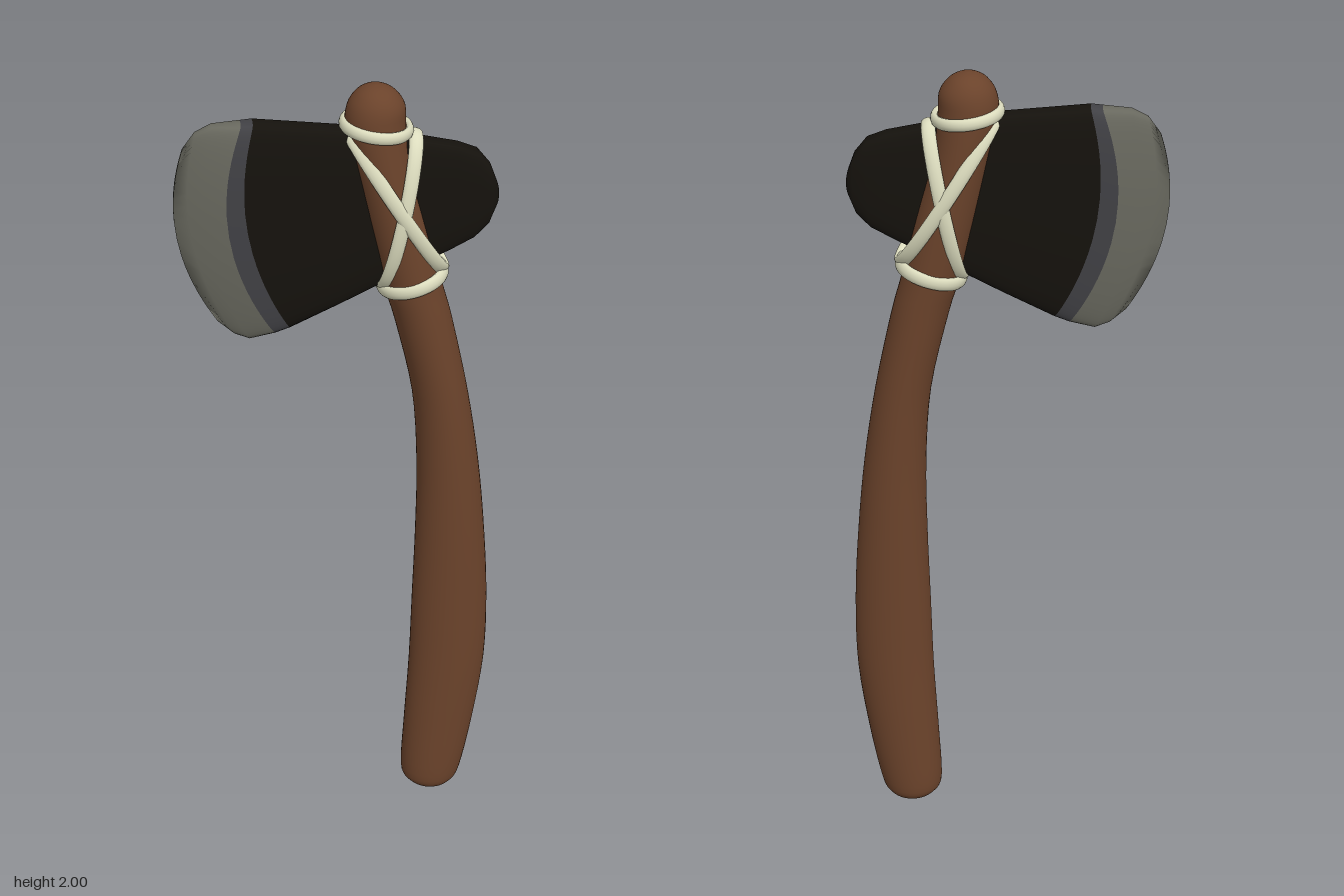
import * as THREE from 'three';
import { mergeVertices } from 'three/addons/utils/BufferGeometryUtils.js';

const V = (x, y, z = 0) => new THREE.Vector3(x, y, z);
const mat = (color) => new THREE.MeshStandardMaterial({ color });

// Skin a list of closed cross-sections; capped ends collapse to their centre.
function loft(rings, capStart = false, capEnd = false) {
  const n = rings[0].length;
  const middle = (ring) => {
    const c = V(0, 0);
    ring.forEach((p) => c.addScaledVector(p, 1 / n));
    return ring.map(() => c);
  };
  const all = [...rings];
  if (capStart) all.unshift(middle(rings[0]));
  if (capEnd) all.push(middle(rings[rings.length - 1]));
  const index = [];
  for (let i = 0; i < all.length - 1; i++) {
    for (let j = 0; j < n; j++) {
      const a = i * n + j, b = i * n + (j + 1) % n;
      index.push(a, a + n, b, b, a + n, b + n);
    }
  }
  let geo = new THREE.BufferGeometry().setFromPoints(all.flat());
  geo.setIndex(index);
  geo = mergeVertices(geo, 1e-5);
  geo.computeVertexNormals();
  return geo;
}

function add(parent, name, geometry, material) {
  const mesh = new THREE.Mesh(geometry, material);
  mesh.name = name;
  parent.add(mesh);
}

// Curved wooden handle: y, left x, right x, half depth
function handleGeometry() {
  const rows = [
    [0, .2, .285, .045], [.012, .178, .305, .06], [.05, .164, .322, .069], [.2, .17, .35, .071],
    [.4, .18, .375, .072], [.6, .185, .376, .073], [.8, .19, .363, .074], [1, .19, .342, .074],
    [1.2, .175, .31, .074], [1.4, .13, .267, .075], [1.5, .1, .24, .076], [1.65, .063, .205, .078],
    [1.8, .03, .165, .077], [1.9, .011, .15, .073], [1.95, .015, .147, .067],
    [1.98, .033, .128, .05], [1.995, .055, .105, .027], [2, .076, .084, .004],
  ];
  const centre = new THREE.CatmullRomCurve3(rows.map(([y, l, r]) => V((l + r) / 2, y)), false, 'catmullrom');
  const size = new THREE.CatmullRomCurve3(rows.map(([, l, r, d]) => V((r - l) / 2, 0, d)), false, 'catmullrom');
  const steps = (rows.length - 1) * 4, rings = [];
  for (let i = 0; i <= steps; i++) {
    const c = centre.getPoint(i / steps), s = size.getPoint(i / steps);
    rings.push(Array.from({ length: 40 }, (_, j) => {
      const a = j / 40 * Math.PI * 2;
      return V(c.x + s.x * Math.cos(a), c.y, s.z * Math.sin(a));
    }));
  }
  return loft(rings, true, true);
}

// One upright slice of the head: bottom point, top point, sideways bow, half thickness
function headRing([bx, by, tx, ty, bow, h]) {
  const round = (v, p) => Math.sign(v) * Math.abs(v) ** p;
  return Array.from({ length: 56 }, (_, j) => {
    const a = j / 56 * Math.PI * 2;
    const t = (round(Math.sin(a), .75) + 1) / 2;
    const x = bx + (tx - bx) * t + bow * 4 * t * (1 - t);
    return V(x, by + (ty - by) * t, .002 + .028 * x + h * round(Math.cos(a), .4));
  });
}

// Flattened cord running round an elliptical loop; "half" points to one end of it
function cordLoop(centre, half, depth, width, thick) {
  const rings = [];
  const steps = 72;
  for (let i = 0; i <= steps; i++) {
    const u = (i % steps) / steps * Math.PI * 2;
    const p = centre.clone().addScaledVector(half, Math.cos(u)).add(V(0, 0, depth * Math.sin(u)));
    const along = half.clone().multiplyScalar(-Math.sin(u)).add(V(0, 0, depth * Math.cos(u))).normalize();
    const side = half.clone().cross(V(0, 0, 1)).normalize();
    const out = along.clone().cross(side);
    const across = out.clone().cross(along);
    rings.push(Array.from({ length: 12 }, (_, j) => {
      const b = j / 12 * Math.PI * 2;
      return p.clone().addScaledVector(out, thick * Math.cos(b)).addScaledVector(across, width * Math.sin(b));
    }));
  }
  return loft(rings);
}

export function createModel() {
  const model = new THREE.Group();
  model.name = 'stoneAxe';

  add(model, 'handle', handleGeometry(), mat(0x6b432b));

  // Stone head: ground edge, narrow band and dark body
  const head = new THREE.Group();
  head.name = 'head';
  model.add(head);
  const slices = [
    [-.288, 1.42, -.357, 1.865, -.055, .004],
    [-.25, 1.387, -.328, 1.903, -.055, .014],
    [-.215, 1.375, -.29, 1.92, -.057, .027],
    [-.155, 1.39, -.225, 1.923, -.07, .04],
    [-.12, 1.403, -.198, 1.925, -.058, .042],
    [0, 1.46, .01, 1.902, -.01, .038],
    [.12, 1.52, .18, 1.87, 0, .035],
    [.26, 1.59, .27, 1.85, 0, .034],
    [.31, 1.617, .315, 1.832, .004, .033],
    [.342, 1.65, .345, 1.795, .006, .028],
    [.358, 1.69, .36, 1.755, .005, .018],
  ].map(headRing);
  add(head, 'cuttingEdge', loft(slices.slice(0, 4), true, false), mat(0x69695f));
  add(head, 'edgeBand', loft(slices.slice(3, 5)), mat(0x414145));
  add(head, 'headBody', loft(slices.slice(4), false, true), mat(0x15120d));

  // Cord lashing: a ring above and below, with two crossed loops between
  const lashing = new THREE.Group();
  lashing.name = 'lashing';
  model.add(lashing);
  const cord = mat(0xdcdcbe);
  add(lashing, 'upperRing', cordLoop(V(.082, 1.9), V(.075, -.01), .075, .015, .01), cord);
  add(lashing, 'lowerRing', cordLoop(V(.17, 1.512), V(.075, .021), .075, .017, .01), cord);
  add(lashing, 'crossLoopA', cordLoop(V(.13, 1.713), V(-.112, .18), .085, .017, .009), cord);
  add(lashing, 'crossLoopB', cordLoop(V(.135, 1.688), V(.037, .19), .082, .017, .009), cord);

  return model;
}
